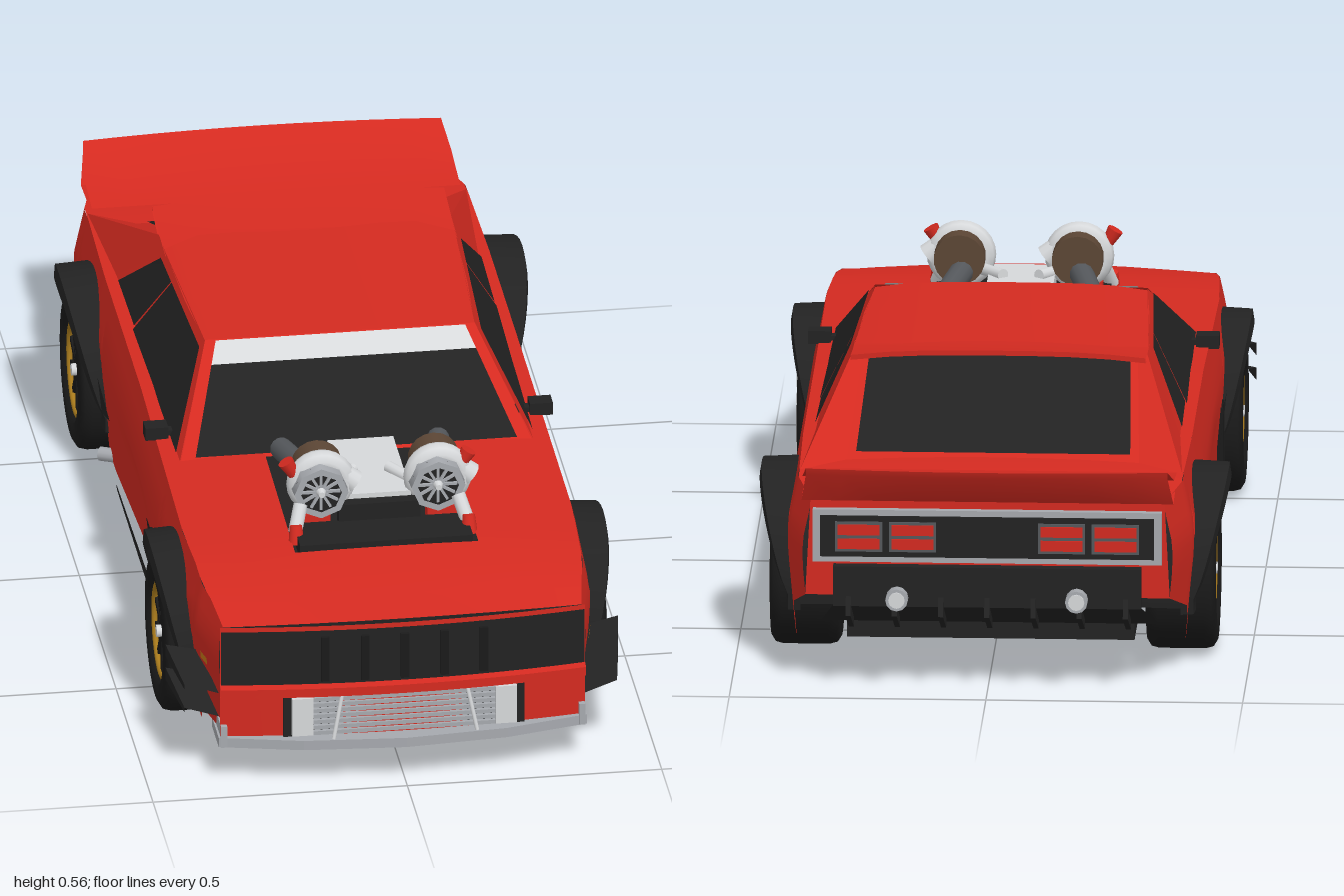
import * as THREE from 'three';
import { toCreasedNormals } from 'three/addons/utils/BufferGeometryUtils.js';

const colour = (name, hex) => {
  const m = new THREE.MeshStandardMaterial({ color: hex, side: THREE.DoubleSide });
  m.name = name;
  return m;
};
const M = {
  red: colour('red paint', 0xd42a20), black: colour('black trim', 0x222222), tyre: colour('tyre black', 0x1a1a1a),
  silver: colour('silver', 0xa6a9ae), white: colour('pale metal', 0xd6d8da), gold: colour('gold', 0xa87a1c),
  brown: colour('burnt iron', 0x5c4635), grey: colour('pipe grey', 0x55585c), orange: colour('amber', 0xc87818),
};

// piecewise linear curve through [t, value] pairs with ascending t
const curve = (t, pts) => {
  if (t <= pts[0][0]) return pts[0][1];
  for (let i = 1; i < pts.length; i++) {
    const [a, va] = pts[i - 1], [b, vb] = pts[i];
    if (t <= b) return va + (vb - va) * (t - a) / (b - a);
  }
  return pts[pts.length - 1][1];
};
const WHEELS = [0.573, -0.58];
const halfWidth = z => curve(z, [[-0.93, 0.36], [-0.8, 0.395], [-0.5, 0.4], [0.6, 0.4], [0.8, 0.388], [0.93, 0.36]]);
const topY = z => curve(z, [[-0.93, 0.38], [-0.75, 0.398], [0, 0.398], [0.3, 0.388], [0.72, 0.375], [0.85, 0.358], [0.93, 0.335]]);
const bottomY = z => {
  let y = curve(z, [[-0.93, 0.19], [-0.8, 0.14], [-0.79, 0.07], [0.79, 0.07], [0.8, 0.1], [0.93, 0.1]]);
  for (const c of WHEELS) if (Math.abs(z - c) < 0.19) y = 0.15 + Math.sqrt(0.19 ** 2 - (z - c) ** 2);
  return y;
};
const sideX = (z, y) => halfWidth(z) - Math.max(0, y - 0.3) * 0.22 - Math.max(0, 0.25 - y) * 0.09
  - 0.012 * Math.max(0, 1 - Math.abs(z) / 0.3) * (y < 0.24 ? 1 : 0);
const noseZ = x => 0.93 + 0.028 * (1 - (x / 0.36) ** 2);
const range = (n, a, b) => Array.from({ length: n + 1 }, (_, i) => a + (b - a) * i / n);

export function createModel() {
  const car = new THREE.Group();
  car.name = 'car';
  const add = (name, geo, mat, pos = [0, 0, 0], rot = [0, 0, 0], parent = car) => {
    const m = new THREE.Mesh(geo, mat);
    m.name = name;
    m.position.set(...pos);
    m.rotation.set(...rot);
    parent.add(m);
    return m;
  };
  const box = (name, mat, size, pos, rot, parent) => add(name, new THREE.BoxGeometry(...size), mat, pos, rot, parent);
  // sheet through rows of points; keep() may drop cells
  const sheet = (name, mat, rows, keep = () => true) => {
    const n = rows[0].length, idx = [];
    for (let i = 0; i + 1 < rows.length; i++) for (let j = 0; j + 1 < n; j++) {
      if (!keep(rows[i][j], rows[i + 1][j + 1])) continue;
      const a = i * n + j, b = a + n;
      idx.push(a, b, a + 1, b, b + 1, a + 1);
    }
    const g = new THREE.BufferGeometry();
    g.setAttribute('position', new THREE.Float32BufferAttribute(rows.flat(2), 3));
    g.setIndex(idx);
    return add(name, toCreasedNormals(g, 0.5), mat);
  };
  const quad = (name, mat, [a, b, c, d]) => sheet(name, mat, [[a, b], [d, c]]);
  // part of a four-cornered panel, moved off its surface
  const inset = ([a, b, c, d], u0, u1, v0, v1, off) => [[u0, v0], [u1, v0], [u1, v1], [u0, v1]].map(([u, v]) =>
    [0, 1, 2].map(k => (a[k] * (1 - u) + b[k] * u) * (1 - v) + (d[k] * (1 - u) + c[k] * u) * v + off[k]));
  const rod = (name, mat, a, b, r0, r1 = r0, parent = car, sides = 12) => {
    const p = new THREE.Vector3(...a), q = new THREE.Vector3(...b), d = q.clone().sub(p);
    const m = add(name, new THREE.CylinderGeometry(r1, r0, d.length(), sides), mat, p.clone().add(q).multiplyScalar(0.5).toArray(), [0, 0, 0], parent);
    m.quaternion.setFromUnitVectors(new THREE.Vector3(0, 1, 0), d.normalize());
  };

  // hood, shoulders and rear deck, with the engine opening left out
  const zs = [...range(4, 0.93, 0.72), ...range(6, 0.72, 0.3).slice(1), ...range(20, 0.3, -0.93).slice(1)];
  sheet('hoodAndDeck', M.red, zs.map(z => {
    const w = sideX(z, topY(z));
    return [-w, -0.3, -0.18, -0.09, 0, 0.09, 0.18, 0.3, w].map(x =>
      [x, topY(z) + 0.008 * (1 - (x / w) ** 2), z > 0.929 ? noseZ(x) : z]);
  }), (p, q) => !(p[2] < 0.721 && q[2] > 0.299 && p[0] > -0.181 && q[0] < 0.181));

  // nose and tail panels
  const xs = range(12, -0.345, 0.345);
  sheet('nosePanel', M.red, [0.1, 0.335].map(y => xs.map(x => [x * 1.04, y, noseZ(x)])));
  quad('tailPanel', M.red, [[-0.355, 0.19, -0.93], [0.355, 0.19, -0.93], [0.345, 0.38, -0.93], [-0.345, 0.38, -0.93]]);
  sheet('grille', M.black, [0.213, 0.328].map(y => xs.map(x => [x * 1.035, y, noseZ(x) + 0.006])));
  sheet('grilleLip', M.red, [[0.212, 0], [0.208, 0.018], [0.19, 0.018], [0.185, 0]].map(([y, d]) => xs.map(x => [x * 1.04, y, noseZ(x) + d])));
  for (const x of range(4, -0.156, 0.156)) box('grilleSlat', M.tyre, [0.016, 0.095, 0.01], [x, 0.268, noseZ(x) + 0.008]);

  // intercooler
  box('coolerOpening', M.black, [0.474, 0.087, 0.02], [0, 0.144, 0.945]);
  for (const y of range(6, 0.108, 0.18)) box('coolerBar', M.silver, [0.36, 0.008, 0.015], [0, y, 0.955]);

  // floor and inner wells
  box('innerTub', M.black, [0.56, 0.26, 1.59], [0, 0.197, 0.005]);
  box('floor', M.black, [0.73, 0.04, 0.74], [0, 0.088, 0]);
  box('noseFloor', M.black, [0.66, 0.035, 0.14], [0, 0.087, 0.85]);

  // splitter
  const plan = new THREE.Shape([[-0.362, -0.85], [-0.362, -0.94], [-0.2, -0.977], [0, -0.992], [0.2, -0.977], [0.362, -0.94], [0.362, -0.85]].map(p => new THREE.Vector2(...p)));
  add('splitter', new THREE.ExtrudeGeometry(plan, { depth: 0.02, bevelEnabled: false }), M.silver, [0, 0.08, 0], [-Math.PI / 2, 0, 0]);

  // windshield, roof and rear window
  const shield = [[-0.345, 0.388, 0.31], [0.345, 0.388, 0.31], [0.265, 0.537, 0.085], [-0.265, 0.537, 0.085]];
  quad('windshieldFrame', M.red, shield);
  quad('windshield', M.black, inset(shield, 0.04, 0.96, 0.02, 0.78, [0, 0.004, 0.003]));
  quad('sunStrip', M.white, inset(shield, 0.04, 0.96, 0.78, 0.98, [0, 0.004, 0.003]));
  sheet('roof', M.red, [[0.085, 0.265], [-0.1, 0.278], [-0.39, 0.287]].map(([z, w]) =>
    range(8, -1, 1).map(t => [t * w, 0.532 + 0.013 * (1 - t ** 4), z])));
  sheet('roofSpoiler', M.red, [[-0.3, 0.542], [-0.38, 0.547], [-0.48, 0.562], [-0.48, 0.552], [-0.38, 0.53]].map(([z, y]) =>
    range(8, -0.287, 0.287).map(x => [x, y - 0.012 * Math.abs(x / 0.287) ** 3, z])));
  const back = [[-0.285, 0.4, -0.71], [0.285, 0.4, -0.71], [0.27, 0.532, -0.38], [-0.27, 0.532, -0.38]];
  quad('rearWindowFrame', M.red, back);
  quad('rearWindow', M.black, inset(back, 0.03, 0.97, 0.07, 0.97, [0, 0.004, -0.002]));

  // ducktail spoiler
  sheet('ducktail', M.red, range(10, -1, 1).map(t => [[-0.78, 0.403], [-0.9, 0.42], [-0.99, 0.455], [-0.985, 0.442], [-0.93, 0.38], [-0.8, 0.39]]
    .map(([z, y]) => [t * (z < -0.95 ? 0.352 : 0.362), y, z + (z < -0.95 ? 0.018 * t * t : 0)])));

  // tail lights
  box('tailFrame', M.silver, [0.68, 0.105, 0.02], [0, 0.313, -0.935]);
  box('tailInset', M.black, [0.65, 0.082, 0.006], [0, 0.313, -0.946]);
  for (const x of [-0.25, -0.145, 0.145, 0.25]) {
    box('lightSurround', M.grey, [0.092, 0.06, 0.004], [x, 0.313, -0.95]);
    for (const y of [0.299, 0.327]) box('tailLight', M.red, [0.082, 0.021, 0.005], [x, y, -0.952]);
  }
  // diffuser
  quad('diffuser', M.black, [[-0.33, 0.1, -0.79], [0.33, 0.1, -0.79], [0.3, 0.175, -0.95], [-0.3, 0.175, -0.95]]);
  box('diffuserFace', M.black, [0.6, 0.08, 0.025], [0, 0.213, -0.94]);
  for (const x of range(6, -0.27, 0.27)) box('diffuserFin', M.black, [0.01, 0.07, 0.15], [x, 0.16, -0.885], [0.4, 0, 0]);

  // engine bay
  box('bayFloor', M.black, [0.36, 0.02, 0.42], [0, 0.345, 0.51]);
  box('airBox', M.black, [0.34, 0.03, 0.1], [0, 0.38, 0.67]);
  box('bayFront', M.black, [0.16, 0.06, 0.03], [0, 0.4, 0.61]);
  box('intakeManifold', M.white, [0.13, 0.08, 0.24], [0, 0.4, 0.48]);

  const turbo = s => {
    const g = new THREE.Group();
    g.name = 'turbo';
    g.position.set(s * 0.115, 0.46, 0.6);
    car.add(g);
    add('compressorScroll', new THREE.TorusGeometry(0.045, 0.023, 10, 24), M.white, [0.005, 0.004, -0.015], [0, 0, 0], g);
    rod('compressorOutlet', M.white, [0.01, 0.05, -0.015], [0.07, 0.0, -0.015], 0.018, 0.024, g);
    add('inletRim', new THREE.CylinderGeometry(0.052, 0.055, 0.03, 8, 1, true), M.silver, [0, 0, 0.015], [Math.PI / 2, 0, 0], g);
    add('inletRing', new THREE.RingGeometry(0.04, 0.053, 8), M.silver, [0, 0, 0.03], [0, 0, 0], g);
    add('inletThroat', new THREE.CircleGeometry(0.05, 16), M.black, [0, 0, 0.014], [0, 0, 0], g);
    for (let i = 0; i < 6; i++) box('fanBlade', M.silver, [0.076, 0.005, 0.006], [0, 0, 0.02], [0, 0, i * Math.PI / 6], g);
    add('fanHub', new THREE.CylinderGeometry(0.006, 0.012, 0.02, 10), M.white, [0, 0, 0.026], [Math.PI / 2, 0, 0], g);
    add('turbineHousing', new THREE.CylinderGeometry(0.05, 0.05, 0.04, 18), M.brown, [0.006, 0.01, -0.065], [Math.PI / 2, 0, 0], g);
    rod('exhaustPipe', M.grey, [0, -0.015, -0.07], [s * 0.04, -0.035, -0.25], 0.024, 0.022, g);
    rod('upperValve', M.red, [s * 0.045, 0.02, -0.01], [s * 0.065, 0.055, -0.01], 0.01, 0.016, g);
    rod('lowerValve', M.white, [s * 0.04, -0.025, 0.02], [s * 0.055, -0.07, 0.05], 0.014, 0.014, g);
    rod('valveCap', M.red, [s * 0.055, -0.05, 0.06], [s * 0.055, -0.085, 0.07], 0.012, 0.016, g);
    box('turboMount', M.red, [0.06, 0.03, 0.03], [s * 0.01, -0.065, 0.0], [0, 0, 0], g);
    rod('chargePipe', M.white, [s * -0.03, -0.02, -0.03], [s * -0.08, -0.015, -0.1], 0.012, 0.012, g);
  };

  const wheel = (s, z) => {
    const g = new THREE.Group();
    g.name = 'wheel';
    g.position.set(s * 0.366, 0.157, z);
    car.add(g);
    const turn = [0, 0, -s * Math.PI / 2];
    const profile = [[0.1, -0.067], [0.14, -0.068], [0.153, -0.06], [0.157, -0.045], [0.157, 0.045], [0.153, 0.06], [0.14, 0.068], [0.105, 0.068], [0.1, 0.045]];
    add('tyre', new THREE.LatheGeometry(profile.map(p => new THREE.Vector2(...p)), 40), M.tyre, [0, 0, 0], turn, g);
    add('rimDisc', new THREE.CylinderGeometry(0.103, 0.103, 0.1, 32), M.black, [0, 0, 0], turn, g);
    add('rimRing', new THREE.TorusGeometry(0.093, 0.006, 8, 40), M.gold, [s * 0.056, 0, 0], [0, Math.PI / 2, 0], g);
    for (let i = 0; i < 5; i++) box('spoke', M.tyre, [0.012, 0.18, 0.012], [s * 0.05, 0, 0], [i * Math.PI / 5, 0, 0], g);
    add('hub', new THREE.CylinderGeometry(0.012, 0.012, 0.02, 12), M.white, [s * 0.056, 0, 0], turn, g);
    if (s > 0) for (const [a, b] of [[0.107, 0.114], [0.121, 0.137]])
      add('tyreBand', new THREE.RingGeometry(a, b, 40), M.white, [0.0695, 0, 0], [0, Math.PI / 2, 0], g);
  };

  const bodyZ = range(140, 0.93, -0.93);
  for (const s of [1, -1]) {
    const flip = pts => pts.map(([x, y, z]) => [s * x, y, z]);
    const onSide = (pts, d) => pts.map(([z, y]) => [s * (sideX(z, y) + d), y, z]);
    // body side with wheel openings
    sheet('bodySide', M.red, bodyZ.map(z => range(8, bottomY(z), topY(z)).map(y => [s * sideX(z, y), y, z])));
    // cabin side, glass and rear buttress
    const side = flip([[0.347, 0.39, 0.31], [0.357, 0.396, -0.5], [0.285, 0.533, -0.31], [0.265, 0.535, 0.085]]);
    quad('cabinSide', M.red, side);
    quad('doorGlass', M.black, inset(side, 0.03, 0.7, 0.02, 0.92, [s * 0.005, 0.002, 0]));
    quad('quarterGlass', M.black, inset(side, 0.71, 0.96, 0.06, 0.92, [s * 0.005, 0.002, 0]));
    quad('buttress', M.red, [side[2], side[1], [s * 0.372, 0.398, -0.77], [s * 0.287, 0.533, -0.39]]);
    quad('buttressTop', M.red, [[s * 0.287, 0.533, -0.39], [s * 0.372, 0.398, -0.77], [s * 0.285, 0.4, -0.71], [s * 0.268, 0.532, -0.38]]);
    // mirror
    box('mirror', M.black, [0.045, 0.026, 0.035], [s * 0.378, 0.403, 0.195]);
    box('mirrorArm', M.black, [0.04, 0.01, 0.02], [s * 0.345, 0.4, 0.195]);
    // wheels and flares
    WHEELS.forEach((z, i) => {
      wheel(s, z);
      const r = i ? 0.212 : 0.204, out = i ? 0.06 : 0.052;
      sheet('wheelFlare', M.black, range(24, -0.15, Math.PI + 0.15).map(t => {
        const x = 0.395 + out * Math.max(0, Math.sin(t)) ** 0.8;
        return [[r + 0.004, 0.37], [r, x], [r - 0.024, x + 0.004], [r - 0.03, 0.28]].map(([q, px]) =>
          [s * px, 0.152 + q * Math.sin(t), z + q * Math.cos(t)]);
      }));
    });
    // side vent, sill, rear scoop and marker
    quad('sideVent', M.black, onSide([[0.385, 0.08], [0.26, 0.08], [0.26, 0.25], [0.385, 0.25]], 0.006));
    for (const z of [0.29, 0.32, 0.35]) box('ventLouvre', M.tyre, [0.012, 0.15, 0.006], [s * 0.397, 0.165, z]);
    quad('sillStrip', M.black, onSide([[0.26, 0.068], [-0.23, 0.066], [-0.23, 0.078], [0.26, 0.105]], 0.012));
    quad('rearScoop', M.black, onSide([[-0.25, 0.205], [-0.37, 0.165], [-0.4, 0.2], [-0.38, 0.235]], 0.01));
    quad('sideMarker', M.orange, onSide([[0.87, 0.225], [0.835, 0.225], [0.835, 0.24], [0.87, 0.24]], 0.004));
    rod('sidePipe', M.silver, [s * 0.36, 0.08, -0.34], [s * 0.405, 0.076, -0.37], 0.014);
    // canards
    for (const y of [0.155, 0.205]) {
      quad('canard', M.black, flip([[0.36, y - 0.015, 0.925], [0.425, y, 0.91], [0.445, y + 0.03, 0.79], [0.38, y + 0.015, 0.79]]));
      quad('canardEdge', M.black, flip([[0.425, y, 0.91], [0.445, y + 0.03, 0.79], [0.445, y + 0.005, 0.79], [0.425, y - 0.01, 0.91]]));
    }
    // front hardware and exhaust tips
    box('coolerTank', M.white, [0.042, 0.08, 0.02], [s * 0.2, 0.145, 0.955]);
    box('splitterPlate', M.silver, [0.012, 0.045, 0.08], [s * 0.352, 0.103, 0.905]);
    rod('splitterRod', M.white, [s * 0.123, 0.19, 0.965], [s * 0.141, 0.1, 0.975], 0.004);
    rod('exhaustTip', M.silver, [s * 0.175, 0.19, -0.9], [s * 0.175, 0.193, -0.98], 0.022, 0.022);
    rod('exhaustCore', M.white, [s * 0.175, 0.193, -0.978], [s * 0.175, 0.193, -0.983], 0.016);
    turbo(s);
  }
  return car;
}
